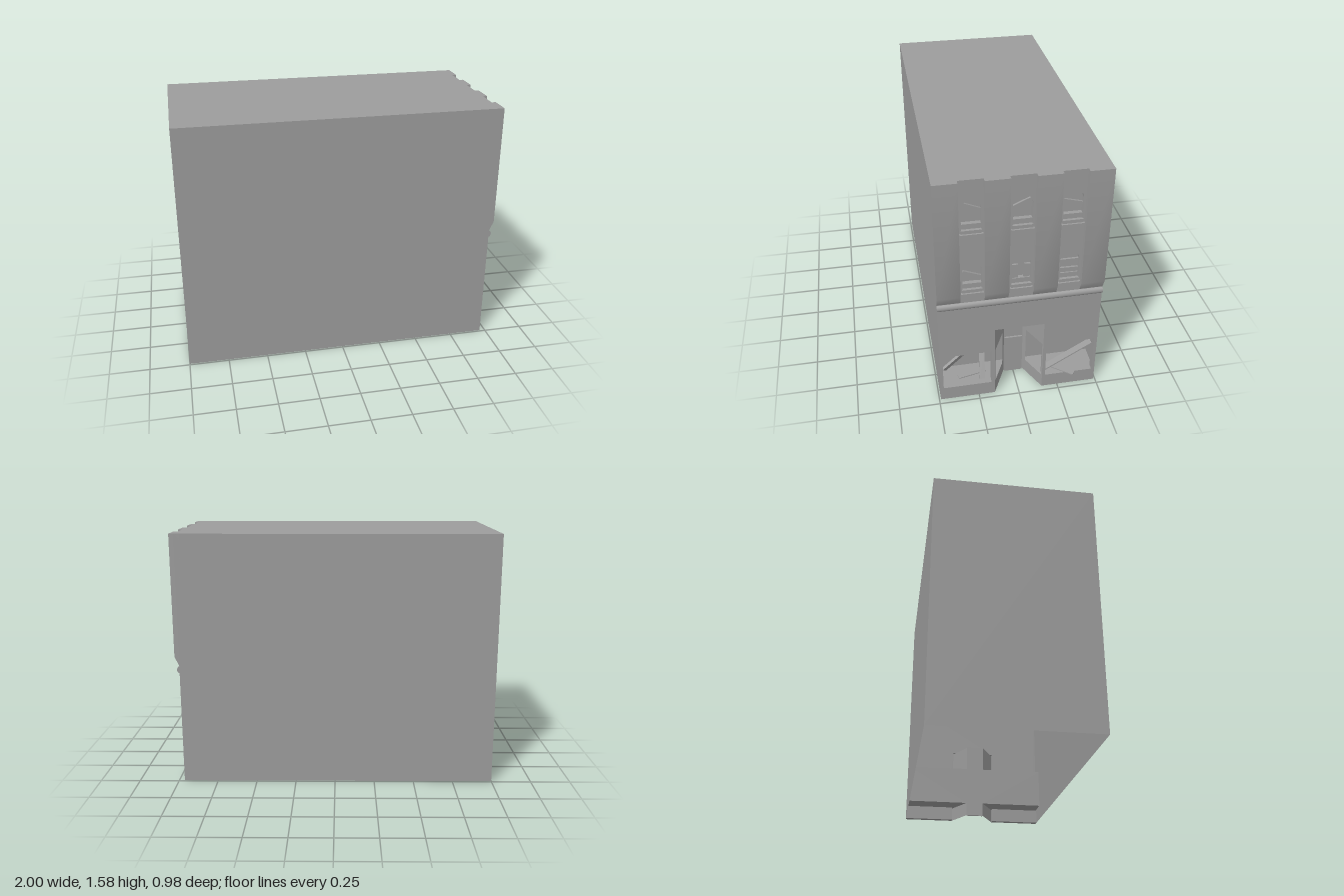
import * as THREE from 'three';
import { toCreasedNormals } from 'three/addons/utils/BufferGeometryUtils.js';

const W = 0.965, IN = 0.928, BACK = 0.785, TOP = 1.575, HALF = 0.49;
const mat = new THREE.MeshStandardMaterial({ color: 0x9c9c9c, flatShading: true, side: THREE.DoubleSide });
const smooth = new THREE.MeshStandardMaterial({ color: 0x9c9c9c, side: THREE.DoubleSide });

function add(parent, name, geo, x = 0, y = 0, z = 0, material = mat) {
  const mesh = new THREE.Mesh(geo, material);
  mesh.name = name;
  mesh.position.set(x, y, z);
  parent.add(mesh);
  return mesh;
}

const poly = (pts) => new THREE.Shape(pts.map(([x, y]) => new THREE.Vector2(x, y)));
const rect = (x0, y0, x1, y1) => poly([[x0, y0], [x1, y0], [x1, y1], [x0, y1]]);

// flat panel standing between two plan points, with an optional hole in it
function upright(parent, name, [x0, z0], [x1, z1], y0, y1, hole) {
  const len = Math.hypot(x1 - x0, z1 - z0);
  const shape = rect(0, y0, len, y1);
  if (hole) shape.holes.push(rect(hole[0] * len, hole[1], hole[2] * len, hole[3]));
  const mesh = add(parent, name, new THREE.ShapeGeometry(shape), x0, 0, z0);
  mesh.rotation.y = -Math.atan2(z1 - z0, x1 - x0);
}

// horizontal panel from plan points
function level(parent, name, pts, y) {
  const geo = new THREE.ShapeGeometry(poly(pts.map(([x, z]) => [x, -z]))).rotateX(-Math.PI / 2);
  add(parent, name, geo, 0, y, 0);
}

// plank between two points of the facade plane, rolled about its own length
function plank(parent, name, [x0, y0], [x1, y1], width, z, depth = 0.012, roll = 0) {
  const len = Math.hypot(x1 - x0, y1 - y0);
  const geo = new THREE.BoxGeometry(len, width, depth).rotateX(roll);
  const mesh = add(parent, name, geo, (x0 + x1) / 2, (y0 + y1) / 2, z);
  mesh.rotation.z = Math.atan2(y1 - y0, x1 - x0);
}

function archShape(x, y, r = 0.055) {
  const s = new THREE.Shape();
  s.moveTo(x - r, y);
  s.lineTo(x + r, y);
  s.lineTo(x + r, y + 0.17);
  s.absarc(x, y + 0.17, r, 0, Math.PI, false);
  s.closePath();
  return s;
}

// each window: column, sill height, boards as [x0, y0, x1, y1, width] relative to it
const windows = [
  [-0.283, 1.225, [[-0.055, 0.185, 0.055, 0.138, 0.038]]],
  [0, 1.225, [[-0.055, 0.13, 0.055, 0.18, 0.038]]],
  [0.28, 1.225, [[-0.055, 0.145, 0.055, 0.115, 0.04]]],
  [-0.283, 0.818, [[-0.055, 0.14, 0.055, 0.095, 0.035]]],
  [0, 0.818, [[-0.034, 0.06, -0.036, 0.16, 0.036], [0.034, 0.06, 0.038, 0.16, 0.036]]],
  [0.28, 0.818, [[-0.055, 0.142, 0.055, 0.142, 0.035], [-0.055, 0.085, 0.055, 0.083, 0.03]]],
];

// sheet wall with doorway, shop windows and arched windows cut out
function buildWall(facade) {
  const shape = poly([[-HALF, 0], [-0.15, 0], [-0.15, 0.52], [0.15, 0.52], [0.15, 0],
    [HALF, 0], [HALF, TOP], [-HALF, TOP]]);
  for (const s of [-1, 1]) shape.holes.push(rect(s * 0.17, 0.093, s * 0.47, 0.35));
  for (const [x, y] of windows) shape.holes.push(archShape(x, y));
  const geo = new THREE.ExtrudeGeometry(shape, { depth: W - IN, bevelEnabled: false, curveSegments: 8 });
  add(facade, 'facadeWall', geo, 0, 0, IN);
}

function buildWindow(facade, [x, y, boards]) {
  const win = new THREE.Group();
  win.name = 'archedWindow';
  win.position.set(x, y, 0);
  facade.add(win);
  add(win, 'windowPane', new THREE.ShapeGeometry(archShape(0, 0), 8), 0, 0, IN + 0.002);
  // stepped sill: name, width, bottom, top, front
  const steps = [['windowSill', 0.13, 0, 0.015, W + 0.017], ['sillStep', 0.118, 0.015, 0.036, W + 0.007],
    ['lowerRail', 0.11, 0.036, 0.068, W - 0.01]];
  for (const [name, w, y0, y1, front] of steps) {
    add(win, name, new THREE.BoxGeometry(w, y1 - y0, front - IN), 0, (y0 + y1) / 2, (front + IN) / 2);
  }
  for (const [x0, y0, x1, y1, w] of boards) plank(win, 'windowBoard', [x0, y0], [x1, y1], w, W - 0.022);
}

// recessed doorway with slanted sides, and the display bay beside it
function buildShopFront(facade) {
  level(facade, 'doorwayCeiling', [[-0.15, W], [-0.06, BACK], [0.06, BACK], [0.15, W]], 0.52);
  upright(facade, 'doorWall', [-0.06, BACK], [0.06, BACK], 0, 0.52);
  add(facade, 'door', new THREE.BoxGeometry(0.112, 0.285, 0.012), 0, 0.1425, BACK + 0.006);
  for (const s of [-1, 1]) {
    upright(facade, 'doorwaySide', [s * 0.15, W], [s * 0.06, BACK], 0, 0.52, [0.05, 0.093, 0.84, 0.35]);
    const bay = [[s * 0.15, W - 0.002], [s * 0.06, BACK], [s * 0.485, BACK], [s * 0.485, W - 0.002]];
    level(facade, 'displayFloor', bay, 0.092);
    level(facade, 'displayCeiling', bay, 0.351);
    upright(facade, 'displayBack', bay[1], bay[2], 0.092, 0.351);
    upright(facade, 'displayEnd', bay[2], bay[3], 0.092, 0.351);
  }
}

// fallen boards in the display bays
function buildDebris(facade) {
  plank(facade, 'fallenBoard', [-0.45, 0.108], [-0.222, 0.328], 0.036, 0.82, 0.016, 0.5);
  plank(facade, 'thinBoard', [0.17, 0.1], [0.47, 0.283], 0.008, 0.91, 0.045);
  // stands at the front and leans on the back of the bay
  const leaning = add(facade, 'leaningBoard', new THREE.BoxGeometry(0.034, 0.2, 0.01), -0.217, 0.183, 0.88);
  leaning.rotation.set(-0.53, 0, -0.057);
  for (const [x, z, len, turn] of [[-0.28, 0.87, 0.18, 0.2], [0.27, 0.925, 0.2, -0.66]]) {
    const board = add(facade, 'floorBoard', new THREE.BoxGeometry(len, 0.006, 0.035), x, 0.097, z);
    board.rotation.y = turn;
  }
}

export function createModel() {
  const model = new THREE.Group();
  model.name = 'building';

  // plain shell, open underneath
  level(model, 'roof', [[-1, -HALF], [W, -HALF], [W, HALF], [-1, HALF]], TOP);
  upright(model, 'backWall', [-1, -HALF], [-1, HALF], 0, TOP);
  for (const z of [-HALF, HALF]) upright(model, 'sideWall', [-1, z], [W, z], 0, TOP);

  // the facade is laid out facing +z, then turned to face +x
  const facade = new THREE.Group();
  facade.name = 'facade';
  facade.rotation.y = Math.PI / 2;
  model.add(facade);
  buildWall(facade);
  windows.forEach((w) => buildWindow(facade, w));
  buildShopFront(facade);
  buildDebris(facade);

  // pilasters with a softly sloping foot
  const profile = poly([[W, 0.76], [0.992, 0.82], [0.992, TOP], [W, TOP]]);
  for (const [a, b] of [[-HALF, -0.353], [-0.213, -0.073], [0.07, 0.21], [0.35, HALF]]) {
    const geo = new THREE.ExtrudeGeometry(profile, { depth: b - a, bevelEnabled: false });
    add(facade, 'pilaster', toCreasedNormals(geo.rotateY(-Math.PI / 2), 0.6), b, 0, 0, smooth);
  }

  // shallow round moulding over the shop front
  const moulding = new THREE.CylinderGeometry(0.025, 0.025, 2 * HALF, 32).rotateZ(Math.PI / 2);
  add(facade, 'moulding', moulding, 0, 0.736, W - 0.01, smooth);
  return model;
}
